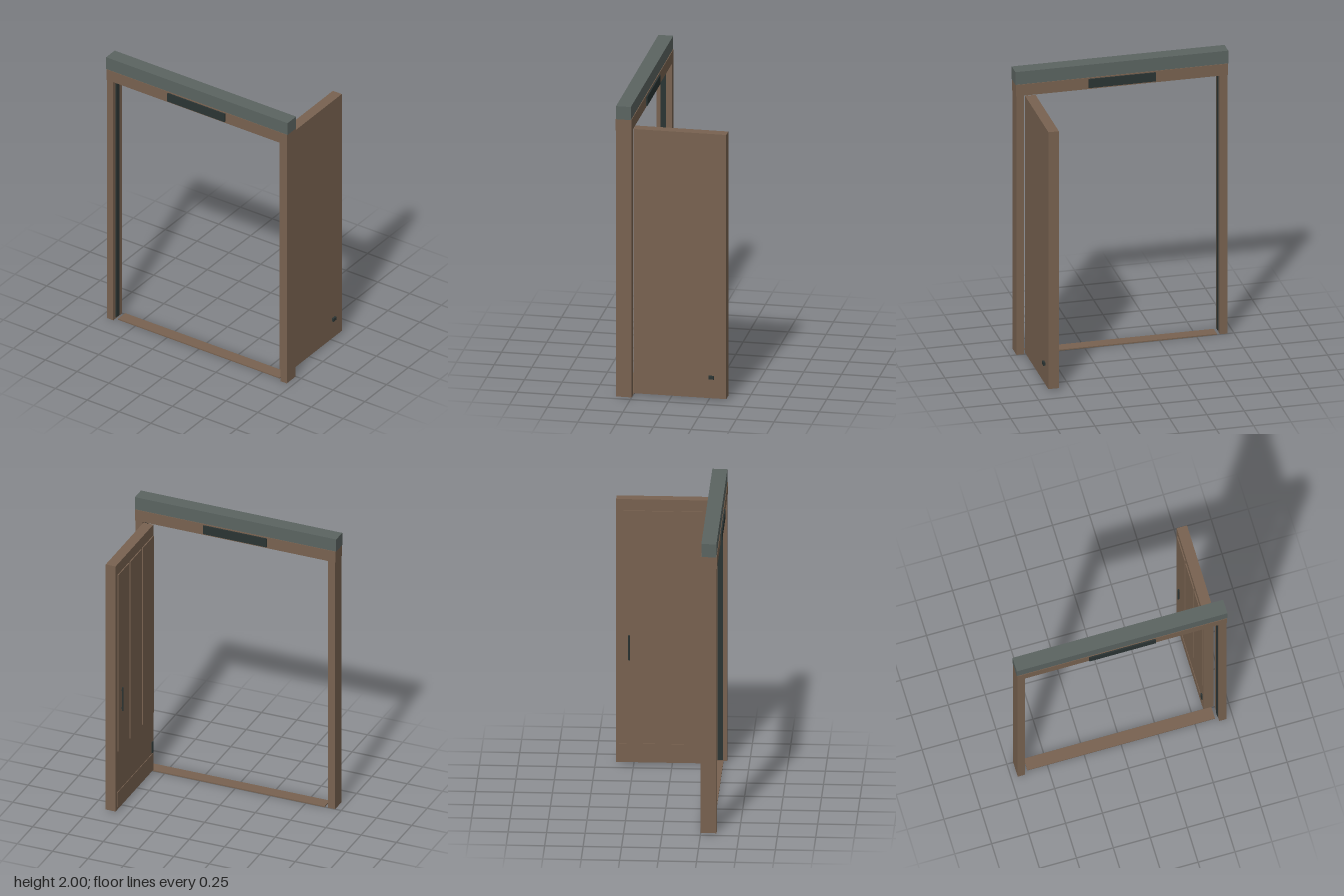
import * as THREE from 'three';

export function createModel() {
  const model = new THREE.Group();
  const make = (name, color) => {
    const m = new THREE.MeshStandardMaterial({ color });
    m.name = name;
    return m;
  };
  const brown = make('brown', 0x786250);
  const grey = make('slateGrey', 0x5b6461);
  const dark = make('darkMetal', 0x2b3433);

  // Box given by its minimum and maximum on each axis
  const box = (parent, name, mat, x, y, z) => {
    const mesh = new THREE.Mesh(
      new THREE.BoxGeometry(x[1] - x[0], y[1] - y[0], z[1] - z[0]), mat);
    mesh.position.set((x[0] + x[1]) / 2, (y[0] + y[1]) / 2, (z[0] + z[1]) / 2);
    mesh.name = name;
    parent.add(mesh);
    return mesh;
  };

  // Frame: posts with inner seals, lintel, header and sill
  const frame = new THREE.Group();
  frame.name = 'frame';
  for (const s of [-1, 1]) {
    const side = s > 0 ? 'left' : 'right';
    box(frame, side + 'Post', brown, [s * 0.682 - 0.025, s * 0.682 + 0.025], [0, 1.83], [0.25, 0.353]);
    box(frame, side + 'Seal', dark, [s * 0.655 - 0.003, s * 0.655 + 0.003], [0.01, 1.825], [0.29, 0.325]);
  }
  box(frame, 'lintel', brown, [-0.71, 0.71], [1.83, 1.91], [0.25, 0.355]);
  box(frame, 'header', grey, [-0.713, 0.713], [1.91, 2], [0.254, 0.352]);
  box(frame, 'sill', brown, [-0.635, 0.635], [0, 0.008], [0.247, 0.33]);
  box(frame, 'frontPlate', dark, [-0.225, 0.225], [1.84, 1.902], [0.355, 0.364]);
  box(frame, 'backPlate', dark, [-0.225, 0.225], [1.84, 1.902], [0.241, 0.25]);
  model.add(frame);

  // Door leaf, standing open
  const door = new THREE.Group();
  door.name = 'door';
  box(door, 'doorLeaf', brown, [0.58, 0.65], [0.01, 1.828], [-0.365, 0.249]);

  // Raised panels on the inner face
  for (const [z0, z1] of [[-0.335, -0.16], [-0.14, 0.04], [0.06, 0.24]]) {
    box(door, 'panel', brown, [0.573, 0.58], [0.44, 1.75], [z0, z1]);
  }
  box(door, 'kickPanel', brown, [0.576, 0.58], [0.035, 0.14], [-0.345, 0.235]);
  box(door, 'hingePlate', dark, [0.572, 0.58], [0.15, 0.23], [0.215, 0.235]);

  // Pull handle with two stand-offs
  const handle = new THREE.Group();
  handle.name = 'handle';
  const bar = new THREE.Mesh(new THREE.CylinderGeometry(0.006, 0.006, 0.17, 12), dark);
  bar.name = 'handleBar';
  bar.position.set(0.567, 0.805, -0.28);
  handle.add(bar);
  for (const y of [0.74, 0.87]) {
    box(handle, 'handleMount', dark, [0.567, 0.581], [y - 0.006, y + 0.006], [-0.285, -0.275]);
  }
  door.add(handle);

  // Small catch on the outer face
  box(door, 'catch', dark, [0.65, 0.664], [0.143, 0.165], [-0.285, -0.25]);
  model.add(door);

  return model;
}
